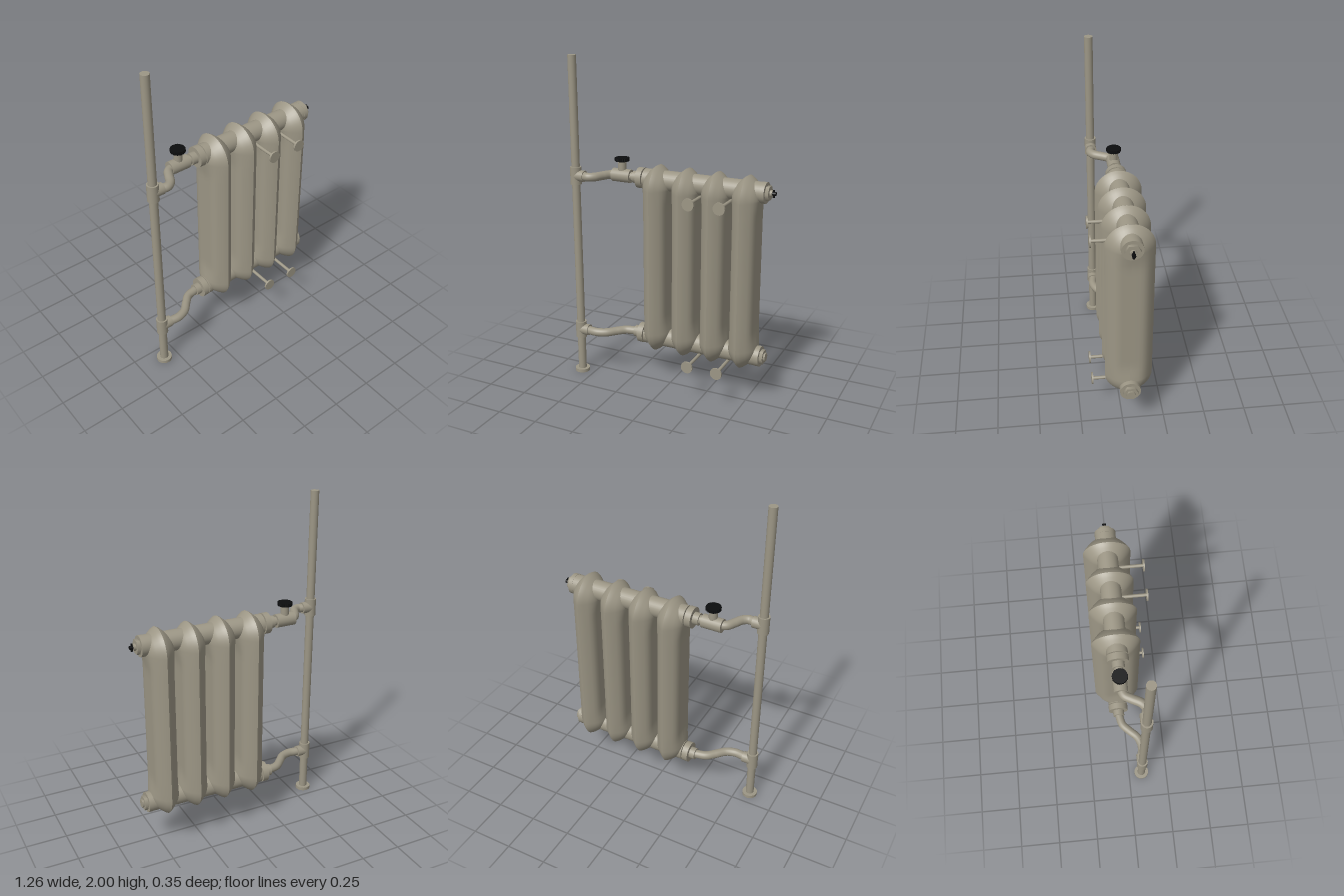
import * as THREE from 'three';

const paint = new THREE.MeshStandardMaterial({ color: 0x9c9685 });
paint.name = 'warm grey paint';
const black = new THREE.MeshStandardMaterial({ color: 0x0c0d0e });
black.name = 'black plastic';

const TOP = 1.29, BOTTOM = 0.29, Z = -0.037; // hub axes
const PIPE_X = -0.585, PIPE_Z = 0.083;

function add(parent, name, geometry, material = paint) {
  const mesh = new THREE.Mesh(geometry, material);
  mesh.name = name;
  parent.add(mesh);
  return mesh;
}

// Cylinder between two coordinates along one axis; p and q are the other two in xyz order
function rod(parent, name, axis, from, to, p, q, r, sides = 24, material = paint) {
  const g = new THREE.CylinderGeometry(r, r, to - from, sides);
  const mid = (from + to) / 2;
  if (axis === 'x') g.rotateZ(-Math.PI / 2).translate(mid, p, q);
  if (axis === 'y') g.translate(p, mid, q);
  if (axis === 'z') g.rotateX(Math.PI / 2).translate(p, q, mid);
  return add(parent, name, g, material);
}

// Half of a radiator section: nested stadium rings rising from a creased rim to a flat panel
const R = 0.138, STRAIGHT = 0.45, MID_Y = 0.7925;
const INSET = [0, 0.008, 0.018, 0.035, 0.052, 0.07, 0.09, 0.115, R];
const END_W = [0, 0.014, 0.026, 0.046, 0.061, 0.072, 0.079, 0.083, 0.084];
const MIDDLE_W = [0, 0.015, 0.028, 0.048, 0.06, 0.067, 0.068, 0.068, 0.068];

function sectionHalf(side) {
  const outline = []; // [angle, y of the arc centre]
  const arc = 20, line = 24;
  for (const half of [0, 1]) {
    const s = half ? -1 : 1;
    for (let i = 0; i <= arc; i++) outline.push([Math.PI * (half + i / arc), s * STRAIGHT]);
    for (let i = 1; i < line; i++) outline.push([Math.PI * (half + 1), s * STRAIGHT * (1 - 2 * i / line)]);
  }
  const n = outline.length, pos = [], idx = [];
  INSET.forEach((d, k) => {
    for (const [a, cy] of outline) {
      const y = cy + (R - d) * Math.sin(a);
      const t = THREE.MathUtils.smoothstep(Math.abs(y), 0.34, 0.47);
      const w = THREE.MathUtils.lerp(MIDDLE_W[k], END_W[k], t);
      pos.push(side * w, y, -(R - d) * Math.cos(a));
    }
  });
  for (let k = 0; k < INSET.length - 1; k++) {
    for (let j = 0; j < n; j++) {
      const a = k * n + j, b = k * n + (j + 1) % n, c = b + n, d = a + n;
      if (side > 0) idx.push(a, b, c, a, c, d);
      else idx.push(a, c, b, a, d, c);
    }
  }
  const g = new THREE.BufferGeometry();
  g.setAttribute('position', new THREE.Float32BufferAttribute(pos, 3));
  g.setIndex(idx);
  g.computeVertexNormals();
  return g;
}

// S-shaped branch from the riser to the radiator axis
function branch(parent, y, endX) {
  const startX = -0.53;
  const profile = [[0, 0.085], [0.22, 0.09], [0.42, 0.07], [0.6, 0.02], [0.76, -0.02], [1, Z]];
  const pts = profile.map(([t, z]) => new THREE.Vector3(startX + t * (endX - startX), y, z));
  add(parent, 'branchPipe', new THREE.TubeGeometry(new THREE.CatmullRomCurve3(pts), 40, 0.026, 20));
}

export function createModel() {
  const model = new THREE.Group();
  model.name = 'radiator';

  // Radiator sections
  const halves = [sectionHalf(1), sectionHalf(-1)];
  for (let i = 0; i < 4; i++) {
    const section = new THREE.Group();
    section.name = 'section';
    section.position.set(-0.093 + i * 0.186, MID_Y, Z);
    halves.forEach((g) => add(section, 'sectionHalf', g));
    model.add(section);
  }

  // Riser pipe with its floor flange
  rod(model, 'riserPipe', 'y', 0, 2, PIPE_X, PIPE_Z, 0.025);
  rod(model, 'floorFlange', 'y', 0, 0.02, PIPE_X, PIPE_Z, 0.046, 32);

  // Hubs, tees and fittings on both levels
  for (const y of [TOP, BOTTOM]) {
    rod(model, 'hub', 'x', -0.178, 0.55, y, Z, 0.06, 32);
    rod(model, 'inletCollar', 'x', -0.222, -0.185, y, Z, 0.062, 32);
    rod(model, 'inletNeck', 'x', -0.19, -0.17, y, Z, 0.045);
    rod(model, 'inletNut', 'x', -0.257, -0.222, y, Z, 0.036);
    rod(model, 'endCollar', 'x', 0.55, 0.575, y, Z, 0.061, 32);
    rod(model, 'endPlug', 'x', 0.575, 0.595, y, Z, 0.045, 6);
    rod(model, 'tee', 'y', y - 0.053, y + 0.053, PIPE_X, PIPE_Z, 0.034);
    rod(model, 'teeArm', 'x', PIPE_X, -0.525, y, PIPE_Z, 0.034);

    // Wall brackets under the hub
    for (const x of [0.188, 0.374]) {
      rod(model, 'bracketRod', 'z', Z, 0.168, x, y - 0.063, 0.01, 16);
      rod(model, 'bracketDisc', 'z', 0.164, 0.174, x, y - 0.063, 0.036, 32);
    }
  }
  branch(model, TOP, -0.375);
  branch(model, BOTTOM, -0.25);
  rod(model, 'lowerPlugTip', 'x', 0.595, 0.606, BOTTOM, Z, 0.027, 6);

  // Shut-off valve
  rod(model, 'valveBody', 'x', -0.395, -0.275, TOP, Z, 0.04);
  rod(model, 'valveOutlet', 'x', -0.28, -0.25, TOP, Z, 0.026);
  rod(model, 'valveStem', 'y', TOP, 1.38, -0.335, Z, 0.025);
  const grip = new THREE.Shape();
  for (let i = 0; i < 48; i++) {
    const a = i / 48 * Math.PI * 2, r = i % 2 ? 0.044 : 0.041;
    grip[i ? 'lineTo' : 'moveTo'](r * Math.cos(a), r * Math.sin(a));
  }
  const handle = new THREE.ExtrudeGeometry(grip, { depth: 0.02, bevelEnabled: false });
  handle.rotateX(-Math.PI / 2).translate(-0.335, 1.379, Z);
  add(model, 'valveHandle', handle, black);

  // Air vent on the upper plug
  rod(model, 'ventSeat', 'x', 0.595, 0.608, TOP, Z, 0.02, 16);
  rod(model, 'ventBody', 'x', 0.605, 0.628, TOP, Z, 0.011, 12, black);
  rod(model, 'ventKey', 'y', TOP - 0.022, TOP + 0.022, 0.615, Z, 0.006, 10, black);

  return model;
}
